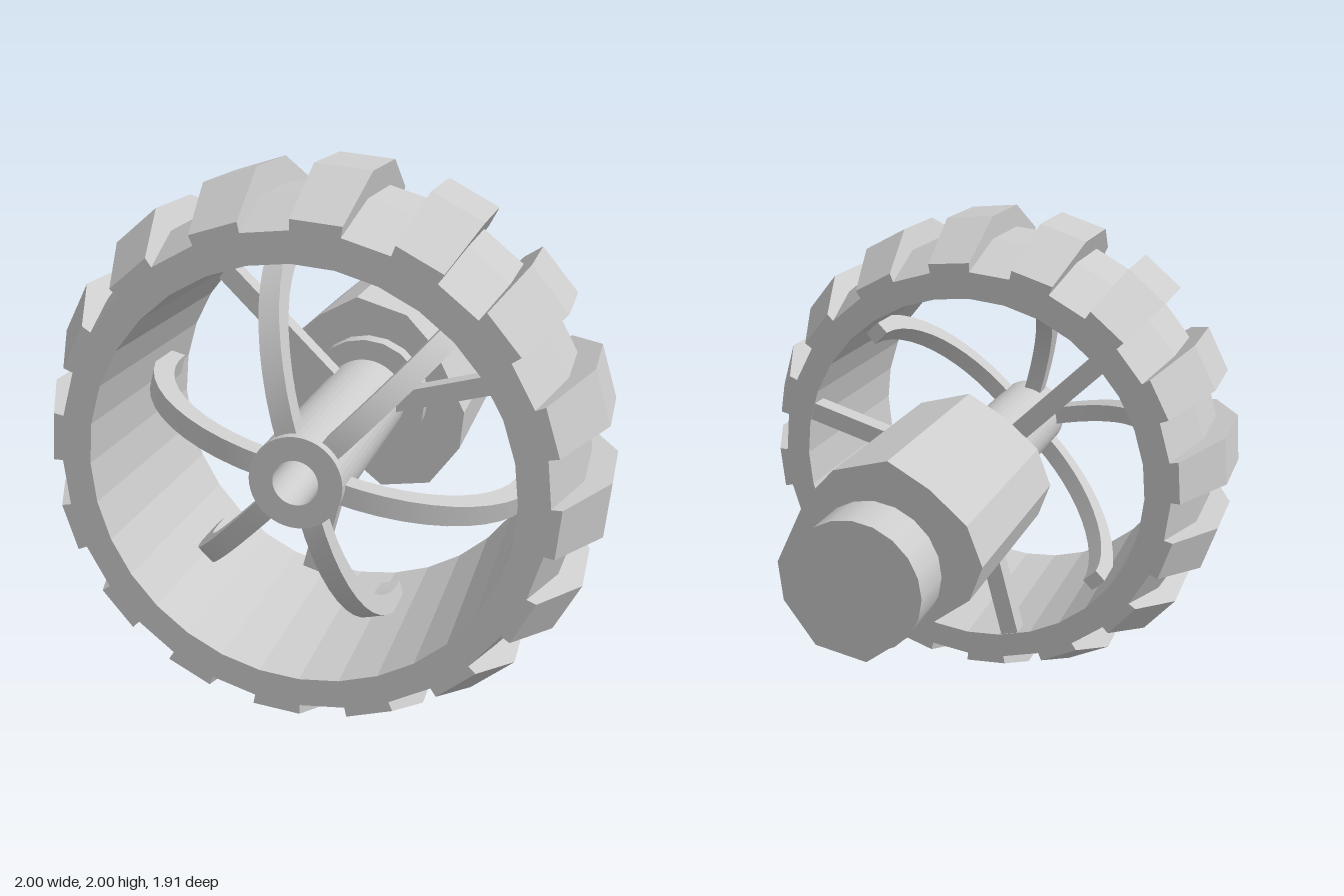
import * as THREE from 'three';

const smooth = new THREE.MeshStandardMaterial({ color: 0xcccccc });
const flat = new THREE.MeshStandardMaterial({ color: 0xcccccc, flatShading: true });

// Moves every vertex of a geometry by a rule, then refreshes its normals.
function bend(geometry, rule) {
  const p = geometry.attributes.position;
  for (let i = 0; i < p.count; i++) p.setXYZ(i, ...rule(p.getX(i), p.getY(i), p.getZ(i)));
  geometry.computeVertexNormals();
  return geometry;
}

export function createModel() {
  const root = new THREE.Group();
  const wheel = new THREE.Group();
  wheel.name = 'wheel';
  wheel.position.y = 1;
  root.add(wheel);

  const add = (name, geometry, material = smooth) => {
    const mesh = new THREE.Mesh(geometry, material);
    mesh.name = name;
    wheel.add(mesh);
    return mesh;
  };

  // Tyre: 32 sectors, alternating raised treads and grooves, tapered to both rims
  const stations = [0.12, 0.39, 0.69, 0.955];
  const sectors = 32, innerRadius = 0.727;
  const treadRadii = [0.865, 1, 1, 0.865];
  const grooveRadii = [0.83, 0.91, 0.91, 0.83];
  for (let i = 0; i < sectors; i++) {
    const radii = i % 2 ? grooveRadii : treadRadii;
    const geometry = bend(new THREE.BoxGeometry(1, 1, 1, 1, 1, 3), (x, y, z) => {
      const k = Math.round((z + 0.5) * 3);
      const angle = (i + x + 0.5) / sectors * Math.PI * 2;
      const r = y > 0 ? radii[k] : innerRadius;
      return [r * Math.sin(angle), r * Math.cos(angle), stations[k]];
    });
    add(i % 2 ? 'tyreGroove' : 'tyreTread', geometry, flat);
  }

  // Hub tube with an open bore
  const ring = new THREE.Shape().absarc(0, 0, 0.16, 0, Math.PI * 2);
  ring.holes.push(new THREE.Path().absarc(0, 0, 0.078, 0, Math.PI * 2, true));
  add('hub', new THREE.ExtrudeGeometry(ring, { depth: 0.895, bevelEnabled: false, curveSegments: 24 }))
    .position.z = 0.055;

  // Straight spokes at the back
  const toTurn = degrees => THREE.MathUtils.degToRad(degrees - 90);
  for (const degrees of [15, 135, 255]) {
    const geometry = new THREE.BoxGeometry(0.075, 0.61, 0.075);
    geometry.translate(0, 0.425, 0.16);
    add('straightSpoke', geometry).rotation.z = toTurn(degrees);
  }

  // Curved spokes: quarter ellipses from the hub's front end back to the rim
  for (const degrees of [45, 105, 165, 225, 285, 345]) {
    const geometry = bend(new THREE.BoxGeometry(0.075, 1, 0.075, 1, 12, 1), (x, y, z) => {
      const a = (y + 0.5) * Math.PI / 2;
      return [x, 0.13 + (0.575 + z) * Math.sin(a), 0.33 + (0.55 + z) * Math.cos(a)];
    });
    add('curvedSpoke', geometry).rotation.z = toTurn(degrees);
  }

  // Motor body: uneven faceted prism
  const outline = [[-0.05, 0.39], [-0.2, 0.31], [-0.33, 0.2], [-0.385, 0.06], [-0.34, -0.07], [0.05, -0.39],
    [0.25, -0.36], [0.37, -0.2], [0.385, -0.05], [0.26, 0.21], [0.15, 0.33]];
  const body = new THREE.Shape(outline.map(([x, y]) => new THREE.Vector2(x, y)));
  add('motorBody', new THREE.ExtrudeGeometry(body, { depth: 0.77, bevelEnabled: false }), flat)
    .position.z = -0.78;

  // Collar in front of the motor and cap behind it
  for (const [name, back, front] of [['motorCollar', -0.02, 0.06], ['motorEndCap', -0.955, -0.77]]) {
    const geometry = new THREE.CylinderGeometry(0.24, 0.24, front - back, 20);
    geometry.rotateX(Math.PI / 2);
    add(name, geometry).position.z = (front + back) / 2;
  }

  return root;
}
